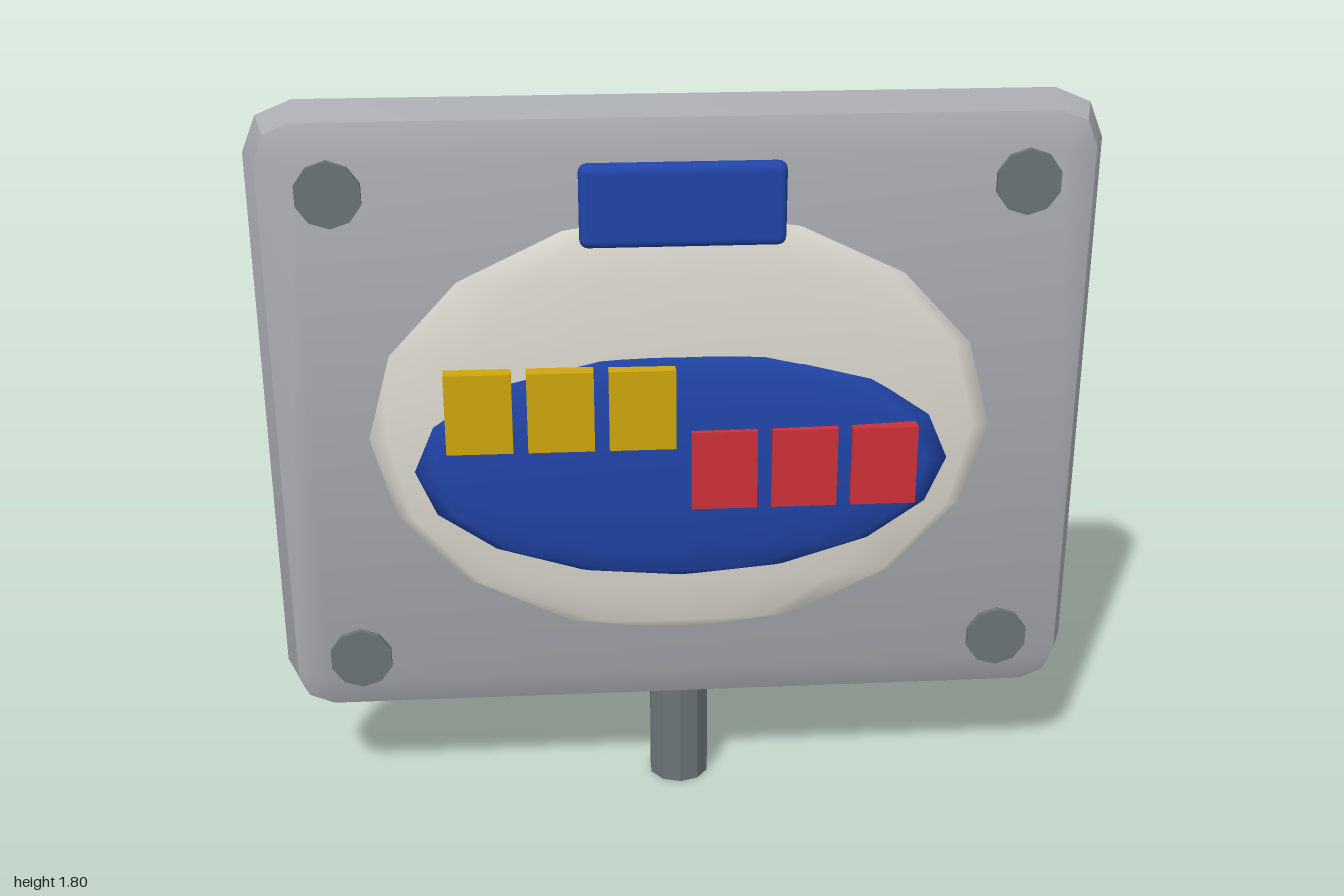
import * as THREE from 'three';
import { toCreasedNormals } from 'three/addons/utils/BufferGeometryUtils.js';
import { RoundedBoxGeometry } from 'three/addons/geometries/RoundedBoxGeometry.js';
import { ConvexGeometry } from 'three/addons/geometries/ConvexGeometry.js';

const paint = (name, color, flatShading = false) => {
  const m = new THREE.MeshStandardMaterial({ color, flatShading });
  m.name = name;
  return m;
};

// Box whose edges and corners are rounded in 45 degree steps, full-round across its depth
function pillowGeometry(halfW, halfH, r) {
  const points = [];
  for (const sx of [-1, 1]) for (const sy of [-1, 1]) {
    for (let i = 0; i <= 4; i++) {
      const polar = i * Math.PI / 4, s = r * Math.sin(polar);
      const steps = i % 4 === 0 ? 0 : 2;
      for (let j = 0; j <= steps; j++) {
        const a = j * Math.PI / 4;
        points.push(new THREE.Vector3(
          sx * (halfW - r + s * Math.cos(a)),
          sy * (halfH - r + s * Math.sin(a)),
          r * Math.cos(polar)));
      }
    }
  }
  return toCreasedNormals(new ConvexGeometry(points), 0.6);
}

export function createModel() {
  const model = new THREE.Group();
  model.name = 'sign';
  const grey = paint('panelGrey', 0xa8aab0);
  const steel = paint('darkSteel', 0x6b7478, true);
  const cream = paint('cream', 0xdad8ce);
  const blue = paint('blue', 0x2145a8);
  const yellow = paint('yellow', 0xcfa60c);
  const red = paint('red', 0xcc3038);

  const add = (name, geometry, material, x, y, z) => {
    const mesh = new THREE.Mesh(geometry, material);
    mesh.name = name;
    mesh.position.set(x, y, z);
    model.add(mesh);
    return mesh;
  };

  // Board and its post
  add('panel', pillowGeometry(1, 0.78, 0.12), grey, 0, 1.025, -0.03);
  add('post', new THREE.CylinderGeometry(0.077, 0.077, 0.36, 10), steel, 0, 0.18, -0.03);

  // Bolts passing right through the four corners
  const boltGeometry = new THREE.CylinderGeometry(0.078, 0.078, 0.276, 10).rotateX(Math.PI / 2);
  for (const x of [-0.8, 0.8]) for (const y of [0.43, 1.615])
    add('bolt', boltGeometry, steel, x, y, -0.034);

  // Domed ovals on the front
  const oval = (rx, ry, rz) => new THREE.SphereGeometry(1, 16, 8).scale(rx, ry, rz);
  add('creamOval', oval(0.76, 0.545, 0.05), cream, 0, 1.015, 0.085);
  add('blueOval', oval(0.64, 0.295, 0.04), blue, 0, 0.94, 0.12);

  // Plaque above the ovals
  add('plaque', new RoundedBoxGeometry(0.475, 0.195, 0.05, 2, 0.02), blue, 0, 1.583, 0.115);

  // Two stepped rows of raised tiles
  const tileGeometry = new THREE.BoxGeometry(0.157, 0.198, 0.04);
  for (let i = 0; i < 3; i++) {
    add('yellowTile', tileGeometry, yellow, -0.482 + i * 0.192, 1.101, 0.15);
    add('redTile', tileGeometry, red, 0.096 + i * 0.192, 0.943, 0.15);
  }
  return model;
}
